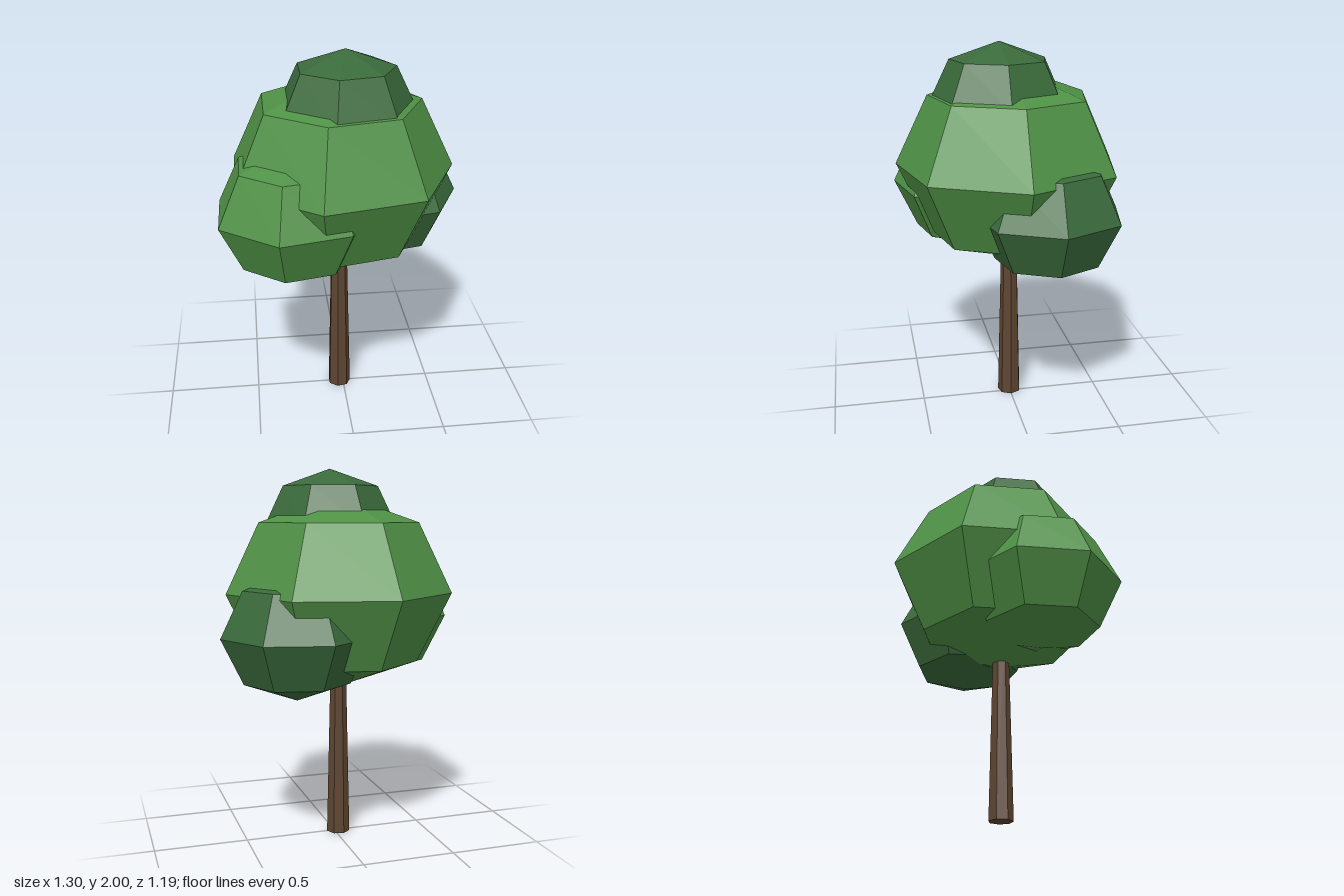
import * as THREE from 'three';

export function createModel() {
  const tree = new THREE.Group();
  tree.name = 'tree';

  const flat = (name, color) => {
    const m = new THREE.MeshStandardMaterial({ color, flatShading: true });
    m.name = name;
    return m;
  };
  const leafGreen = flat('leaf green', 0x4f9146);
  const deepGreen = flat('deep green', 0x3a6a3b);
  const bark = flat('bark brown', 0x5e4531);

  const SIDES = 7;

  // Slightly squashed low-poly ball of leaves, one corner pointing to +x
  const addFoliage = (name, material, radius, x, y, z) => {
    const geometry = new THREE.SphereGeometry(radius, SIDES, 4);
    geometry.rotateY(Math.PI);
    geometry.scale(1, 0.855, 1);
    const mesh = new THREE.Mesh(geometry, material);
    mesh.name = name;
    mesh.position.set(x, y, z);
    tree.add(mesh);
  };

  addFoliage('mainFoliage', leafGreen, 0.61, -0.02, 1.35, 0);
  addFoliage('frontRightFoliage', leafGreen, 0.425, -0.272, 1.2, 0.182);
  addFoliage('backLeftFoliage', deepGreen, 0.398, 0.252, 1.14, -0.155);
  addFoliage('topFoliage', deepGreen, 0.365, 0.007, 1.688, 0.058);

  // Tapered trunk, its top hidden inside the foliage
  const trunkGeometry = new THREE.CylinderGeometry(0.042, 0.0645, 1.0, SIDES);
  trunkGeometry.rotateY(Math.PI / 2);
  const trunk = new THREE.Mesh(trunkGeometry, bark);
  trunk.name = 'trunk';
  trunk.position.set(-0.022, 0.5, 0);
  tree.add(trunk);

  return tree;
}
